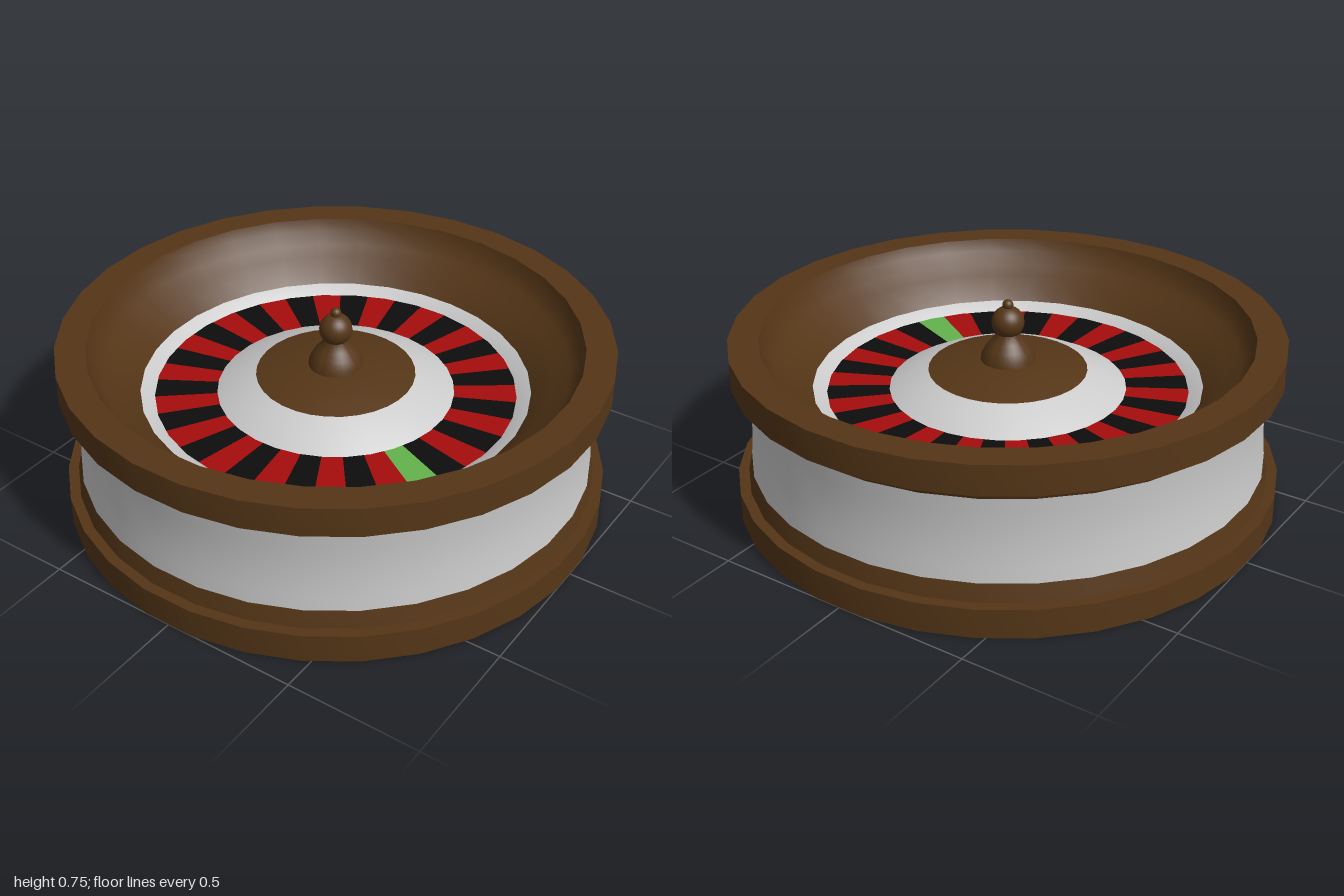
import * as THREE from 'three';
import { toCreasedNormals } from 'three/addons/utils/BufferGeometryUtils.js';

const SIDES = 32;
const POCKETS = 37;

const material = (color) => new THREE.MeshStandardMaterial({ color });
const wood = material(0x553617);
const grey = material(0xcccccc);
const red = material(0xa60d0d);
const black = material(0x0d0d0d);
const green = material(0x63b34e);

export function createModel() {
  const group = new THREE.Group();

  const add = (name, geometry, mat, parent = group) => {
    const mesh = new THREE.Mesh(geometry, mat);
    mesh.name = name;
    parent.add(mesh);
    return mesh;
  };

  // Turned part: [radius, height] points, outside of the profile listed upwards
  const turn = (name, profile, mat) => {
    const points = profile.map(([r, y]) => new THREE.Vector2(r * 1.005, y));
    const geometry = new THREE.LatheGeometry(points, SIDES);
    geometry.rotateY(Math.PI / SIDES);
    return add(name, toCreasedNormals(geometry, 0.5), mat);
  };

  // Casing, from the floor up
  turn('base', [[0, 0], [1, 0], [1, 0.11], [0.962, 0.11], [0.947, 0.175]], wood);
  turn('sideWall', [[0.947, 0.175], [0.941, 0.23], [0.938, 0.29], [0.937, 0.333],
    [0.938, 0.375], [0.941, 0.435], [0.947, 0.49]], grey);
  turn('rimAndBowl', [[0.947, 0.49], [0.962, 0.53], [1, 0.53], [1, 0.64], [0.89, 0.64],
    [0.875, 0.595], [0.84, 0.55], [0.785, 0.52], [0.71, 0.44]], wood);

  // Rotor: grey dish under the pockets, cone and wooden dome
  turn('dish', [[0.71, 0.44], [0.655, 0.413], [0.64, 0.4], [0.42, 0.4]], grey);
  turn('cone', [[0.44, 0.4], [0.435, 0.414], [0.36, 0.455], [0.29, 0.483]], grey);
  turn('dome', [[0.29, 0.483], [0.2, 0.507], [0.1, 0.52], [0, 0.525]], wood);

  // Pockets: one green, the rest alternating red and black
  const pockets = new THREE.Group();
  pockets.name = 'pockets';
  group.add(pockets);
  const step = (Math.PI * 2) / POCKETS;
  const start = THREE.MathUtils.degToRad(28);
  for (let i = 0; i < POCKETS; i++) {
    const geometry = new THREE.RingGeometry(0.43, 0.663, 2, 1, -start - (i + 0.5) * step, step);
    geometry.rotateX(-Math.PI / 2).translate(0, 0.415, 0);
    add(`pocket${i + 1}`, geometry, i === 0 ? green : i % 2 ? red : black, pockets);
  }

  // Spindle: flared foot with a ball and a small finial
  turn('spindleFoot', [[0.1, 0.515], [0.096, 0.54], [0.08, 0.57], [0.06, 0.595],
    [0.045, 0.615], [0.04, 0.64]], wood);
  add('spindleBall', new THREE.SphereGeometry(0.06, 24, 16).translate(0, 0.665, 0), wood);
  add('finial', new THREE.SphereGeometry(0.02, 16, 12).translate(0, 0.732, 0), wood);

  return group;
}
